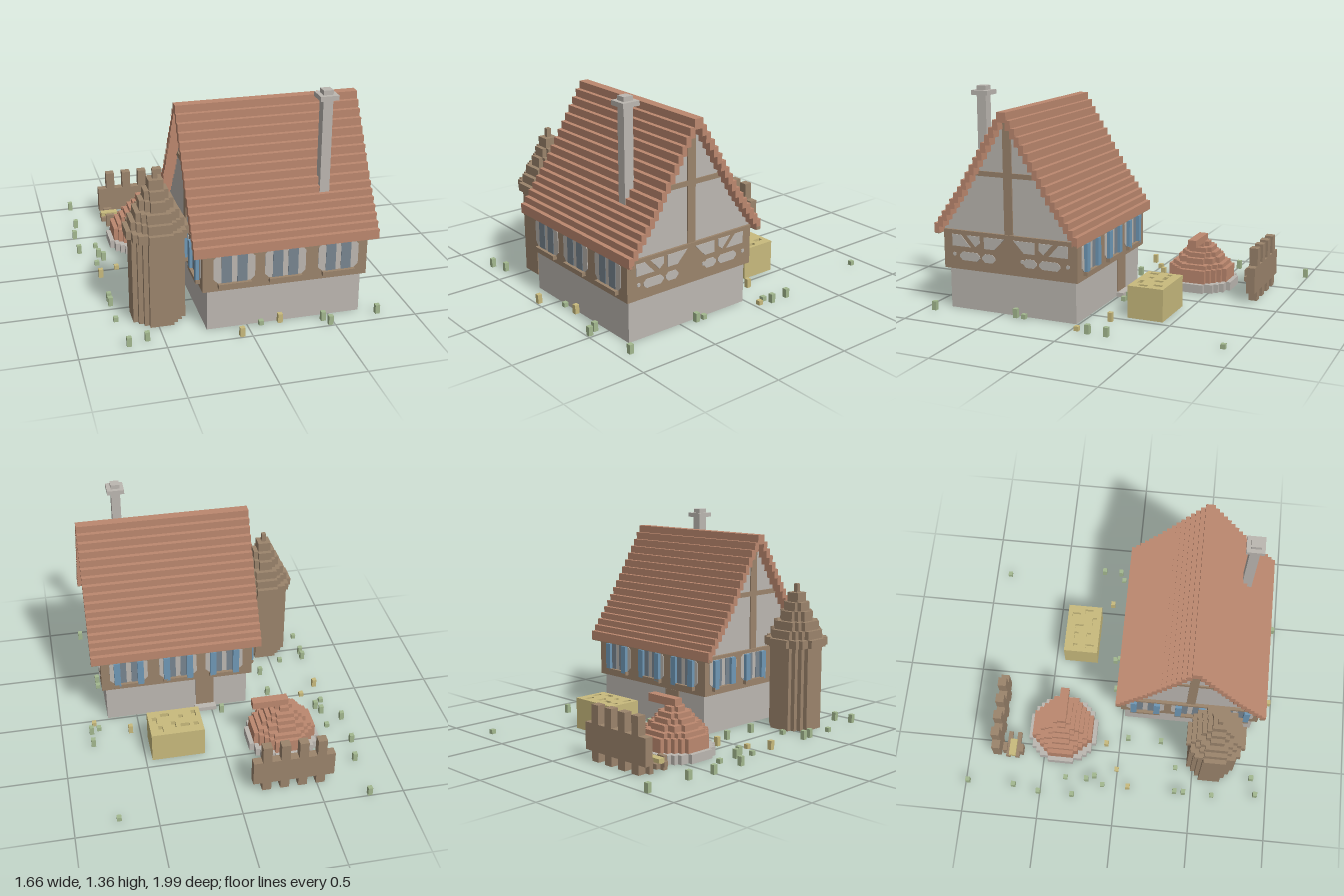
import * as THREE from 'three';

const V = 0.0282; // block size
const mat = (name, color) => {
  const m = new THREE.MeshStandardMaterial({ color, side: THREE.DoubleSide });
  m.name = name;
  return m;
};

export function createModel() {
  const M = {
    stone: mat('stone', 0xbcb7b1), tile: mat('clay tile', 0xbc886f), timber: mat('timber', 0x9b846c),
    blue: mat('blue paint', 0x6f98b6), glass: mat('window glass', 0x788590), hay: mat('straw', 0xc8ba7d),
    grass: mat('grass', 0xa3b88f),
  };
  const root = new THREE.Group();
  const group = (name, parent = root) => {
    const g = new THREE.Group();
    g.name = name;
    parent.add(g);
    return g;
  };
  const add = (name, geo, material, parent) => {
    const m = new THREE.Mesh(geo, material);
    m.name = name;
    parent.add(m);
    return m;
  };
  // Box given by its limits; open = no bottom face
  const box = (name, [x0, x1], [y0, y1], [z0, z1], material, parent, open = false) => {
    const g = new THREE.BoxGeometry(x1 - x0, y1 - y0, z1 - z0);
    if (open) {
      const idx = [...g.index.array];
      idx.splice(18, 6);
      g.setIndex(idx);
      g.clearGroups();
    }
    add(name, g, material, parent).position.set((x0 + x1) / 2, (y0 + y1) / 2, (z0 + z1) / 2);
  };
  const vectors = (pts) => pts.map(([x, y]) => new THREE.Vector2(x, y));
  // Outline of a circle made of square blocks, n blocks across
  const discPoints = (n) => {
    const r = n / 2, right = [];
    for (let row = 0; row < n; row++) {
      const y = row + 0.5 - r;
      let w = Math.sqrt(Math.max(0, (r + 0.1) ** 2 - y * y));
      w = n % 2 ? Math.floor(w) + 0.5 : Math.round(w);
      w = Math.min(w, r);
      right.push([w * V, (row - r) * V], [w * V, (row + 1 - r) * V]);
    }
    return vectors([...right, ...right.map(([x, y]) => [-x, y]).reverse()]);
  };
  // Horizontal slab from an outline with optional holes
  const slab = (name, outline, holes, y0, y1, material, parent) => {
    const s = new THREE.Shape(outline);
    s.holes = holes.map((h) => new THREE.Path(h));
    const g = new THREE.ExtrudeGeometry(s, { depth: y1 - y0, bevelEnabled: false });
    g.rotateX(-Math.PI / 2);
    add(name, g, material, parent).position.y = y0;
  };
  const disc = (name, n, y0, y1, material, parent, hole = 0) =>
    slab(name, discPoints(n), hole > 0 ? [discPoints(hole).reverse()] : [], y0, y1, material, parent);
  // Thin painted plate in a wall's own plane
  const plate = (name, pts, material, parent, z = 0) => {
    const s = new THREE.Shape(vectors(pts));
    add(name, new THREE.ExtrudeGeometry(s, { depth: 0.004, bevelEnabled: false }), material, parent).position.z = z;
  };
  const chamfered = (x0, x1, y0, y1, c) => [
    [x0 + c, y0], [x1 - c, y0], [x1, y0 + c], [x1, y1 - c], [x1 - c, y1], [x0 + c, y1], [x0, y1 - c], [x0, y0 + c]];
  const rect = (x0, x1, y0, y1) => [[x0, y0], [x1, y0], [x1, y1], [x0, y1]];

  // House body
  const house = group('house');
  box('stoneBase', [-0.24, 0.69], [0, 0.255], [0.013, 0.865], M.stone, house, true);
  box('timberStorey', [-0.27, 0.715], [0.256, 0.485], [-0.01, 0.89], M.timber, house);
  box('floorBeam', [-0.28, 0.725], [0.482, 0.502], [-0.01, 0.89], M.timber, house);
  for (const z of [[-0.035, -0.005], [0.885, 0.91]]) box('eavesRail', [-0.325, 0.775], [0.482, 0.502], z, M.timber, house);
  box('backDoor', [-0.02, 0.1], [0.03, 0.25], [0.006, 0.015], M.timber, house);
  box('doorStep', [-0.03, 0.11], [0, 0.028], [-0.035, 0.013], M.stone, house);

  // Windowed walls: plaster panels, paired panes, sills, optional shutters
  const windowWall = (name, centres, shutters) => {
    const g = group(name, house);
    for (const c of centres) {
      plate('plasterPanel', chamfered(c - 0.122, c + 0.122, 0.308, 0.482, 0.025), M.stone, g);
      for (const s of [-1, 1]) {
        const x = c + s * 0.046;
        plate('windowPane', rect(x - 0.03, x + 0.03, 0.308, 0.478), M.glass, g, 0.003);
        if (shutters) box('shutter', [c + s * 0.075 - 0.02, c + s * 0.075 + 0.02], [0.295, 0.478], [0, 0.026], M.blue, g);
      }
      box('windowSill', [c - 0.098, c + 0.098], [0.283, 0.308], [0, 0.026], M.timber, g);
    }
    return g;
  };
  const place = (g, x, z, turn) => {
    g.position.set(x, 0, z);
    g.rotation.y = turn;
  };
  place(windowWall('frontWindows', [-0.085, 0.218, 0.538], false), 0, 0.89, 0);
  place(windowWall('backWindows', [-0.538, -0.218, 0.085], true), 0, -0.01, Math.PI);
  place(windowWall('rightSideWindows', [-0.29, 0, 0.29], true), -0.27, 0.44, -Math.PI / 2);

  // Braced side wall
  const braced = group('bracedWall', house);
  place(braced, 0.715, 0.44, Math.PI / 2);
  const infills = [
    [[-0.39, 0.4], [-0.265, 0.4], [-0.33, 0.472], [-0.39, 0.472]],
    [[-0.23, 0.405], [-0.2, 0.43], [-0.2, 0.472], [-0.29, 0.472]],
    [[-0.17, 0.4], [-0.1, 0.4], [-0.03, 0.472], [-0.17, 0.472]],
    chamfered(-0.34, -0.2, 0.315, 0.368, 0.02),
    chamfered(-0.185, -0.095, 0.315, 0.368, 0.02),
  ];
  for (const s of [-1, 1])
    for (const p of infills) plate('plasterInfill', p.map(([x, y]) => [x * s, y]), M.stone, braced);
  for (const u of [-0.375, 0.09, 0.39])
    plate('carvedRosette', chamfered(u - 0.011, u + 0.011, 0.338, 0.36, 0.005), M.stone, braced, 0.002);

  // Gables with crossed beams
  const gable = new THREE.Shape(vectors([[-0.455, 0.5], [0.455, 0.5], [0.01, 1.2], [-0.01, 1.2]]));
  const gableGeo = new THREE.ExtrudeGeometry(gable, { depth: 0.97, bevelEnabled: false });
  gableGeo.rotateY(Math.PI / 2);
  add('gableWalls', gableGeo, M.stone, house).position.set(-0.26, 0, 0.44);
  for (const x of [[0.7, 0.718], [-0.268, -0.25]]) {
    box('gablePost', x, [0.5, 1.18], [0.412, 0.468], M.timber, house);
    box('gableTie', x, [0.845, 0.875], [0.225, 0.655], M.timber, house);
  }

  // Stepped tile roof, slightly flatter near the eaves
  const roof = group('roof', house);
  box('ridge', [-0.325, 0.775], [1.18, 1.24], [0.41, 0.47], M.tile, roof);
  for (let i = 1; i <= 16; i++) {
    const h = 0.03 + 0.028 * i, top = 1.24 - 0.046 * Math.min(i, 10) - 0.039 * Math.max(i - 10, 0);
    for (const s of [-1, 1]) {
      const z = [0.44 + s * h, 0.44 + s * (h - 0.034)].sort((a, b) => a - b);
      box('tileCourse', [-0.325, 0.775], [top - 0.06, top], z, M.tile, roof);
    }
  }

  // Chimney
  const chimney = group('chimney');
  box('chimneyStack', [0.46, 0.518], [0.74, 1.355], [0.69, 0.752], M.stone, chimney);
  box('chimneyCap', [0.435, 0.545], [1.3, 1.328], [0.664, 0.776], M.stone, chimney);

  // Round timber tower
  const tower = group('tower');
  tower.position.set(-0.48, 0, 0.613);
  disc('towerShaft', 11, 0, 0.55, M.timber, tower, 9);
  [[13, 0.59], [11, 0.643], [9, 0.698], [7, 0.76], [5, 0.815], [3, 0.875], [1, 0.93]].forEach(([n, top], i) =>
    disc('towerRoofStep', n, i ? top - 0.064 : 0.538, top, M.timber, tower));

  // Domed brick oven with a canopy over its mouth
  const oven = group('oven');
  oven.position.set(-0.384, 0, -0.386);
  disc('ovenFooting', 16, 0, 0.055, M.stone, oven, 12);
  [[14, 0.14], [12, 0.168], [10, 0.205], [8, 0.235], [6, 0.265], [4, 0.295]].forEach(([n, top]) =>
    disc('ovenDomeStep', n, n === 14 ? 0.05 : top - 0.045, top, M.tile, oven, n - 4));
  box('ovenCanopy', [-0.03, 0.198], [0.29, 0.338], [-0.028, 0.028], M.tile, oven);

  // Hay bale with a ragged top layer
  const bale = group('hayBale');
  box('baleBody', [0.125, 0.46], [0, 0.172], [-0.44, -0.213], M.hay, bale, true);
  const pits = [[1, 1, 1, 2], [3, 5, 2, 1], [4, 2, 1, 1], [6, 4, 1, 2], [7, 1, 2, 1], [9, 5, 1, 2], [10, 2, 1, 2], [1, 5, 1, 1]];
  slab('baleTop', vectors(rect(0.125, 0.46, 0.213, 0.44)),
    pits.map(([i, j, w, d]) => vectors(rect(0.125 + i * V, 0.125 + (i + w) * V, 0.213 + j * V, 0.213 + (j + d) * V)).reverse()),
    0.172, 0.2, M.hay, bale);

  // Fence of staggered boards
  const fence = group('fence');
  for (let i = 0; i < 9; i++)
    box('fenceBoard', [-0.607 + i * 2 * V, -0.607 + (i + 1) * 2 * V], i % 2 ? [0, 0.338] : [0.06, 0.225],
      [-0.832, -0.778], M.timber, fence);

  // Sawhorse holding a log
  const saw = group('sawhorse');
  for (const z of [-0.75, -0.69]) box('sawhorseRail', [-0.61, -0.44], [0.03, 0.06], [z, z + V], M.timber, saw);
  for (const z of [-0.775, -0.667]) box('sawhorseLeg', [-0.58, -0.525], [0, 0.085], [z, z + V], M.timber, saw);
  box('log', [-0.607, -0.496], [0.055, 0.085], [-0.73, -0.685], M.hay, saw);

  // Scattered grass and dry tufts (x, z)
  const tufts = group('tufts');
  const scatter = (pts, material) => pts.forEach(([x, z], i) => {
    const h = i % 3 === 2 ? V : 2 * V;
    box('tuft', [x - V / 2, x + V / 2], [0, h], [z - V / 2, z + V / 2], material, tufts);
  });
  scatter([[-0.79, -0.985], [-0.79, -0.68], [0.73, -0.905], [-0.82, -0.51], [-0.82, -0.285], [-0.705, -0.34],
    [-0.705, -0.2], [-0.68, -0.148], [-0.733, -0.09], [-0.06, -0.063], [0.145, -0.09], [0.167, -0.063]], M.grass);
  scatter([[0.81, -0.233], [0.81, -0.116], [0.76, -0.09], [-0.4, 0.053], [-0.4, 0.275], [-0.57, 0.386],
    [-0.733, 0.392], [-0.733, 0.45], [-0.733, 0.64], [-0.595, 0.894], [-0.705, 0.926], [0.08, 0.885],
    [0.447, 0.926], [0.475, 0.98], [0.72, 0.345], [0.786, 0.926], [0.72, 0.4]], M.grass);
  scatter([[-0.452, -0.09], [0.56, -0.148], [0.786, -0.037], [-0.06, 0.98], [0.195, 0.885], [-0.62, -0.005],
    [-0.733, 0.08]], M.hay);

  return root;
}
